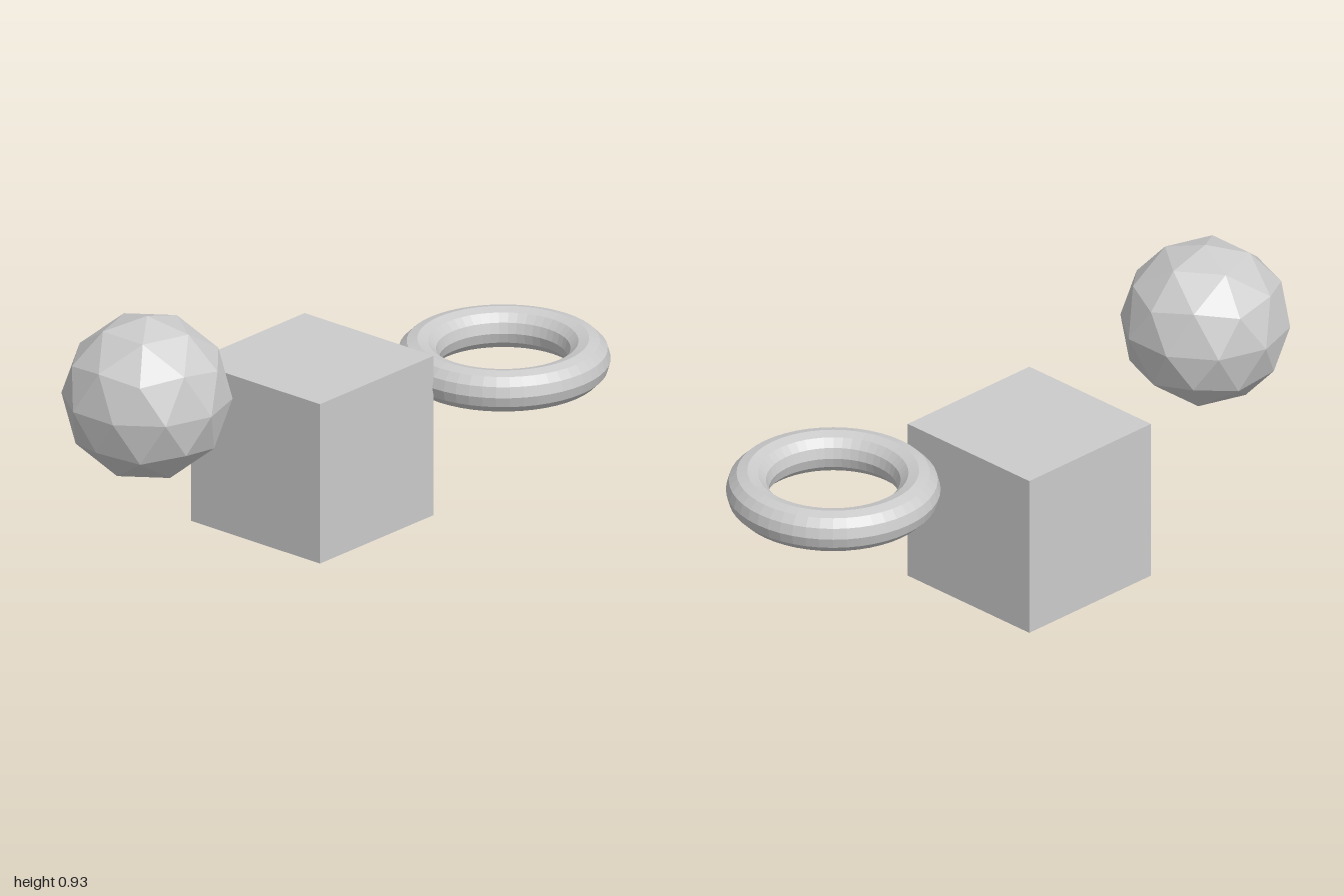
import * as THREE from 'three';

const U = 0.2775; // shared unit: half the cube's edge

export function createModel() {
  const group = new THREE.Group();
  const material = new THREE.MeshStandardMaterial({ color: 0xcccccc, flatShading: true });

  const add = (name, geometry, x, y, z) => {
    const mesh = new THREE.Mesh(geometry, material);
    mesh.name = name;
    mesh.position.set(x, y, z);
    group.add(mesh);
  };

  // Cube standing on the ground
  add('cube', new THREE.BoxGeometry(2 * U, 2 * U, 2 * U), 0.036, U, -0.158);

  // Faceted ball, turned so that one corner points straight up
  const ball = new THREE.IcosahedronGeometry(U, 1);
  ball.rotateZ(-Math.atan(2 / (1 + Math.sqrt(5))));
  add('facetedBall', ball, -0.736, 0.653, -0.189);

  // Ring lying flat
  const ring = new THREE.TorusGeometry(U, U / 4, 12, 48);
  ring.rotateX(Math.PI / 2);
  add('ring', ring, 0.653, 0.444, 0.12);

  return group;
}
